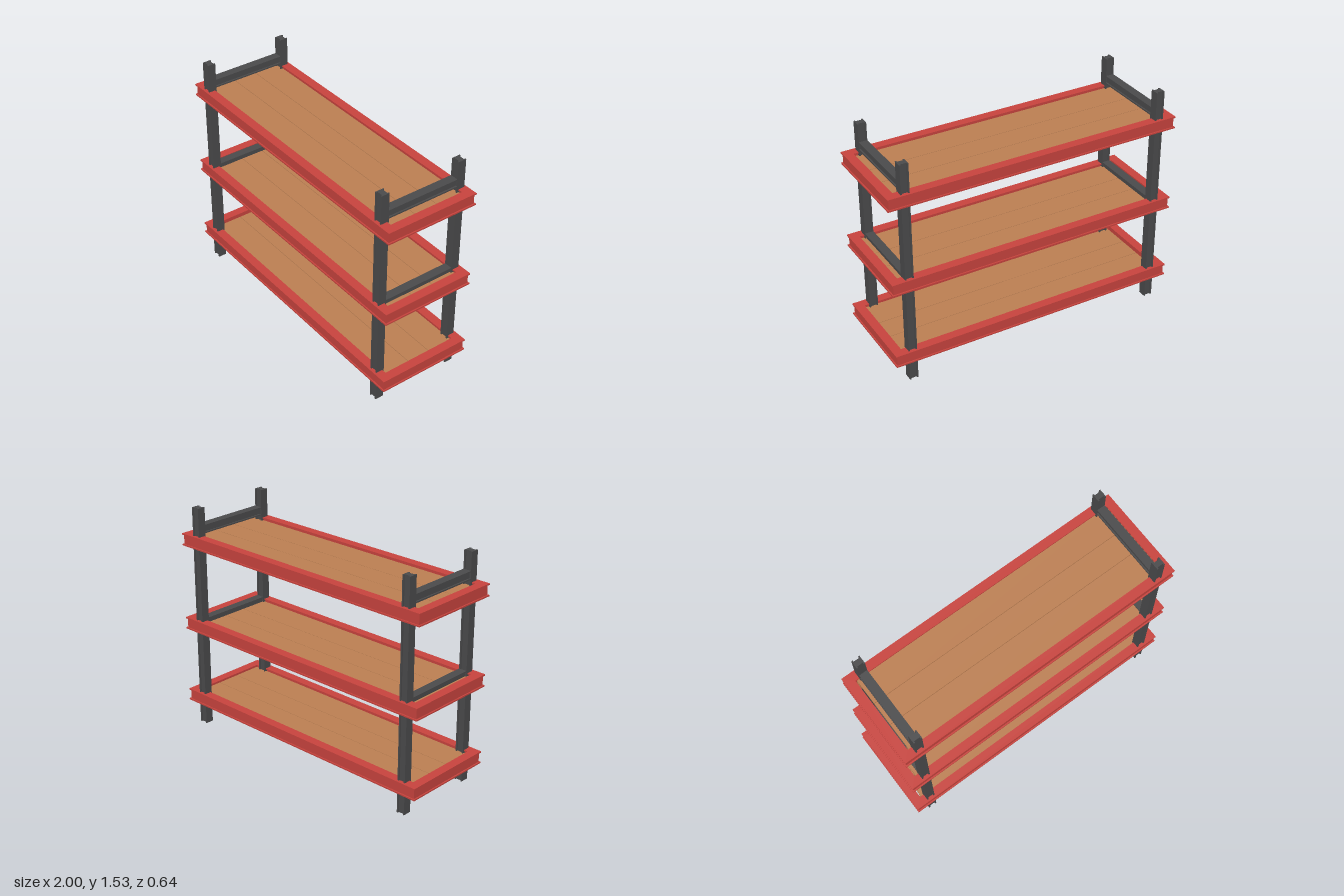
import * as THREE from 'three';

const mat = (name, color) => Object.assign(new THREE.MeshStandardMaterial({ color }), { name });

// I-section bar along +z, flanges at the -x and +x sides
function iBeam(size, length) {
  const h = size / 2, f = 0.009, w = h - 0.01;
  const s = new THREE.Shape([
    [-h, -h], [-h + f, -h], [-h + f, -w], [h - f, -w], [h - f, -h], [h, -h],
    [h, h], [h - f, h], [h - f, w], [-h + f, w], [-h + f, h], [-h, h],
  ].map(([x, y]) => new THREE.Vector2(x, y)));
  return new THREE.ExtrudeGeometry(s, { depth: length, bevelEnabled: false });
}

// Flat rectangular ring, inset from the shelf outline by a, inner edge at b
function ring(a, b, height) {
  const rect = (P, i) => {
    const x = 1 - i, z = 0.3225 - i;
    return new P([[-x, -z], [x, -z], [x, z], [-x, z]].map(([u, v]) => new THREE.Vector2(u, v)));
  };
  const s = rect(THREE.Shape, a);
  s.holes.push(rect(THREE.Path, b));
  return new THREE.ExtrudeGeometry(s, { depth: height, bevelEnabled: false }).rotateX(-Math.PI / 2);
}

export function createModel() {
  const model = new THREE.Group();
  model.name = 'shelvingRack';
  const steel = mat('darkSteel', 0x4b4b4c);
  const red = mat('redPaint', 0xc9443e);
  const wood = mat('wood', 0xbd8053);

  const add = (parent, name, geometry, material, x, y, z) => {
    const m = new THREE.Mesh(geometry, material);
    m.name = name;
    m.position.set(x, y, z);
    parent.add(m);
  };
  const box = (x, y, z) => new THREE.BoxGeometry(x, y, z);

  // End frames: two posts joined by cross bars
  const post = iBeam(0.057, 1.53).rotateX(-Math.PI / 2);
  const bar = iBeam(0.057, 0.502).rotateZ(Math.PI / 2).translate(0, 0, -0.251);
  for (const x of [-0.884, 0.88]) {
    const frame = new THREE.Group();
    frame.name = x < 0 ? 'rightEndFrame' : 'leftEndFrame';
    for (const z of [-0.279, 0.279]) add(frame, z > 0 ? 'frontPost' : 'backPost', post, steel, x, 0, z);
    for (const y of [0.15, 0.68, 0.737, 1.383]) add(frame, 'crossBar', bar, steel, x, y, 0);
    model.add(frame);
  }

  // Shelves: red I-section border, three boards, four support blocks
  const flange = ring(0, 0.06, 0.009);
  const web = ring(0.009, 0.051, 0.066);
  const boards = [[-0.267, -0.09], [-0.087, 0.071], [0.074, 0.267]];
  for (const y of [0.138, 0.666, 1.255]) {
    const shelf = new THREE.Group();
    shelf.name = 'shelf';
    shelf.position.y = y;
    add(shelf, 'bottomFlange', flange, red, 0, 0, 0);
    add(shelf, 'borderWeb', web, red, 0, 0.008, 0);
    add(shelf, 'topFlange', flange, red, 0, 0.073, 0);
    for (const [z0, z1] of boards) {
      add(shelf, 'board', box(1.915, 0.02, z1 - z0), wood, 0.0275, 0.052, (z0 + z1) / 2);
    }
    for (const x of [-0.89, 0.944]) {
      for (const z of [-0.252, 0.252]) add(shelf, 'supportBlock', box(0.083, 0.057, 0.035), wood, x, 0.0145, z);
    }
    model.add(shelf);
  }
  return model;
}
